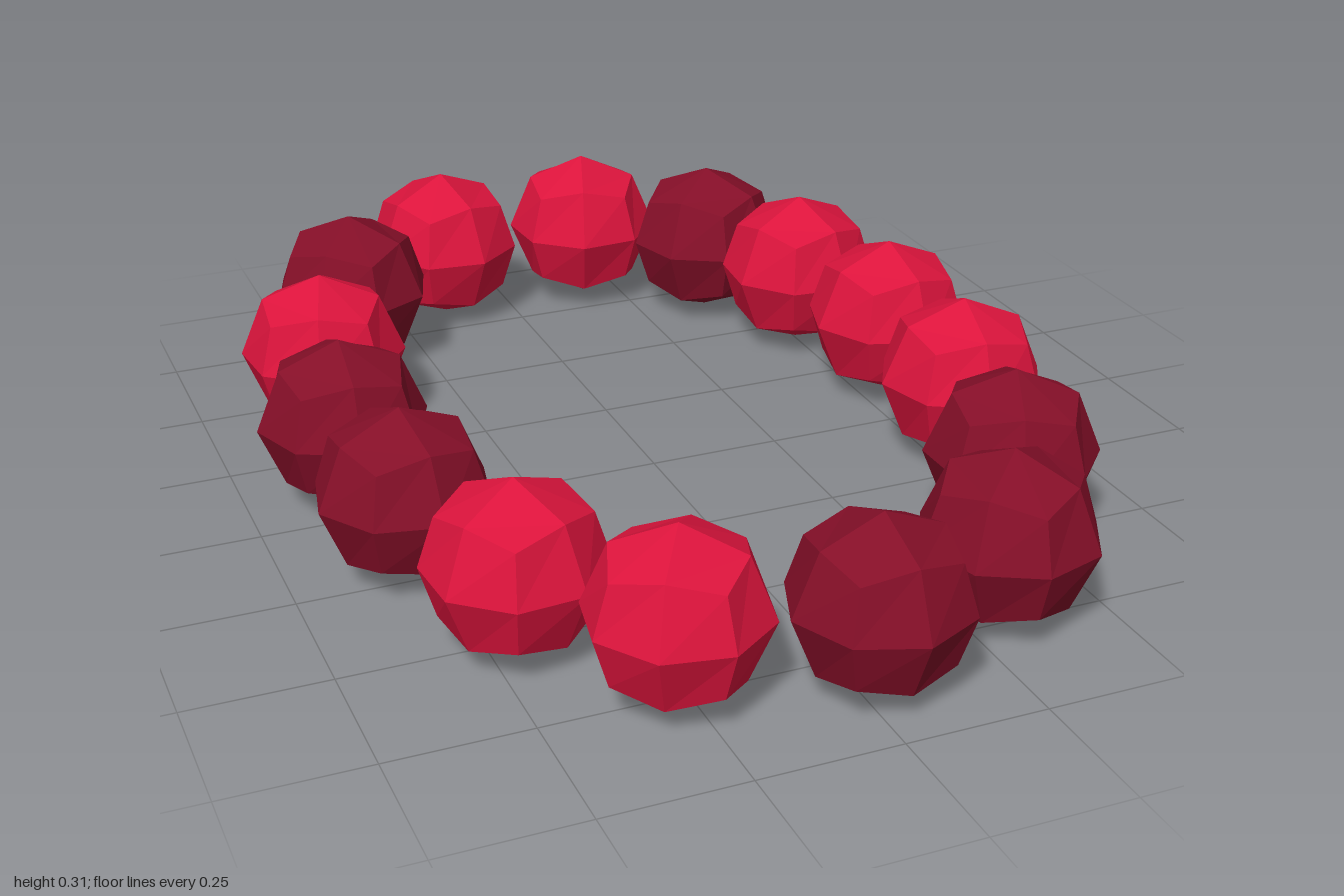
import * as THREE from 'three';

const RADIUS = 0.156;

// bead centres around the loop: [x, z, isDark]
const BEADS = [
  [-0.14, -0.853, 0], [0.177, -0.85, 0], [0.397, -0.675, 1],
  [0.505, -0.44, 0], [0.56, -0.147, 0], [0.555, 0.162, 0],
  [0.483, 0.47, 1], [0.325, 0.732, 1], [0.033, 0.84, 1],
  [-0.27, 0.755, 0], [-0.452, 0.522, 0], [-0.546, 0.213, 1],
  [-0.567, -0.093, 1], [-0.522, -0.40, 0], [-0.388, -0.683, 1],
];

// faceted bead: a 2x2x2 divided cube pushed out onto a sphere
function beadGeometry() {
  const geo = new THREE.BoxGeometry(1, 1, 1, 2, 2, 2).toNonIndexed();
  const pos = geo.attributes.position;
  const v = new THREE.Vector3();
  for (let i = 0; i < pos.count; i++) {
    v.fromBufferAttribute(pos, i).setLength(RADIUS);
    pos.setXYZ(i, v.x, v.y, v.z);
  }
  geo.computeVertexNormals();
  return geo;
}

export function createModel() {
  const bracelet = new THREE.Group();
  bracelet.name = 'beadBracelet';
  const geo = beadGeometry();
  const bright = new THREE.MeshStandardMaterial({ color: 0xdc143c, flatShading: true });
  const dark = new THREE.MeshStandardMaterial({ color: 0x850f28, flatShading: true });

  const n = BEADS.length;
  BEADS.forEach(([x, z, isDark], i) => {
    // each bead is turned to follow the loop
    const [px, pz] = BEADS[(i + n - 1) % n];
    const [nx, nz] = BEADS[(i + 1) % n];
    const bead = new THREE.Mesh(geo, isDark ? dark : bright);
    bead.name = isDark ? 'darkBead' : 'brightBead';
    bead.position.set(x, RADIUS, z);
    bead.rotation.y = -Math.atan2(nz - pz, nx - px);
    bracelet.add(bead);
  });
  return bracelet;
}
